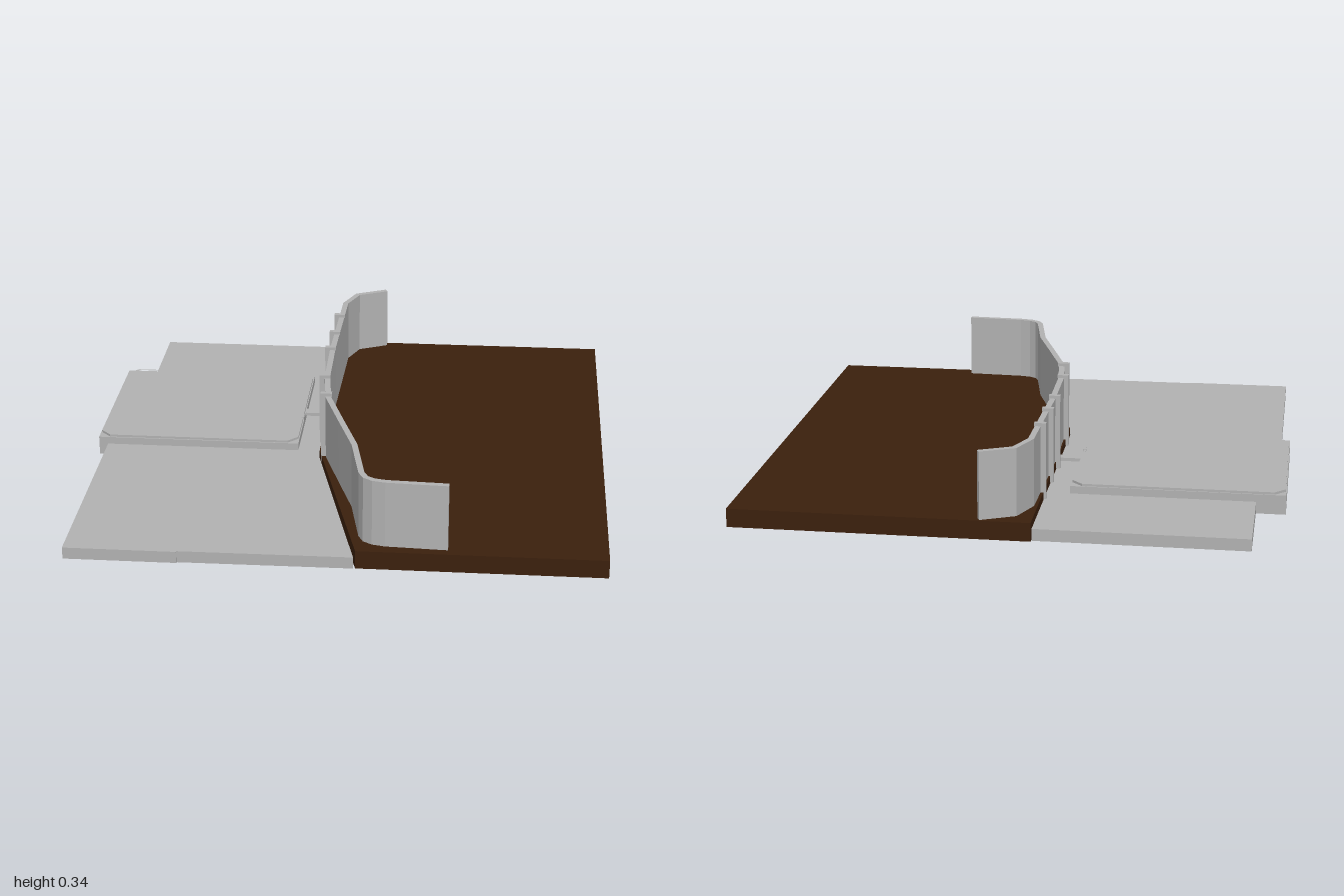
import * as THREE from 'three';

const grey = new THREE.MeshStandardMaterial({ color: 0xb2b2b2 });
grey.name = 'concrete grey';
const brown = new THREE.MeshStandardMaterial({ color: 0x3b200d });
brown.name = 'earth brown';

// Vertical prism from a plan outline of [x, z] points
function prism(name, outline, y0, y1, material, hole) {
  const toPoints = (list) => list.map(([x, z]) => new THREE.Vector2(x, -z));
  const shape = new THREE.Shape(toPoints(outline));
  if (hole) shape.holes.push(new THREE.Path(toPoints(hole)));
  const geometry = new THREE.ExtrudeGeometry(shape, { depth: y1 - y0, bevelEnabled: false });
  geometry.rotateX(-Math.PI / 2).translate(0, y0, 0);
  const mesh = new THREE.Mesh(geometry, material);
  mesh.name = name;
  return mesh;
}

function box(name, x0, x1, y0, y1, z0, z1) {
  const mesh = new THREE.Mesh(new THREE.BoxGeometry(x1 - x0, y1 - y0, z1 - z0), grey);
  mesh.position.set((x0 + x1) / 2, (y0 + y1) / 2, (z0 + z1) / 2);
  mesh.name = name;
  return mesh;
}

// Closed outline of constant thickness around an open path, with mitred corners
function ribbon(path, thickness) {
  const points = path.map(([x, z]) => new THREE.Vector2(x, z));
  const normal = (a, b) => new THREE.Vector2(a.y - b.y, b.x - a.x).normalize();
  const sideA = [], sideB = [];
  points.forEach((p, i) => {
    const n0 = normal(points[Math.max(i - 1, 0)], points[Math.max(i, 1)]);
    const last = points.length - 1;
    const n1 = normal(points[Math.min(i, last - 1)], points[Math.min(i + 1, last)]);
    const miter = n0.clone().add(n1).normalize();
    const d = thickness / 2 / miter.dot(n0);
    sideA.push([p.x + miter.x * d, p.y + miter.y * d]);
    sideB.unshift([p.x - miter.x * d, p.y - miter.y * d]);
  });
  return [...sideA, ...sideB];
}

// Rectangle with cut corners
function cutRect(x0, x1, z0, z1, c) {
  return [[x0 + c, z0], [x1 - c, z0], [x1, z0 + c], [x1, z1 - c],
    [x1 - c, z1], [x0 + c, z1], [x0, z1 - c], [x0, z0 + c]];
}

export function createModel() {
  const model = new THREE.Group();
  model.name = 'walledTerrace';

  // Ground slabs meeting along a bent edge
  model.add(prism('earthSlab',
    [[-0.11, -0.985], [1, -0.985], [1, 0.97], [0.095, 0.97], [-0.11, 0.15]], 0, 0.07, brown));
  model.add(prism('pavedSlab',
    [[-0.89, -0.975], [-0.112, -0.975], [-0.112, 0.15], [0.088, 0.972], [-0.55, 0.976],
      [-0.55, 0.982], [-0.965, 0.982], [-0.965, 0.05], [-0.89, 0.05]], 0, 0.045, grey));

  // Raised pad with a thin rim, and a walkway to the wall
  model.add(box('pad', -1, -0.2, 0, 0.074, -0.575, 0.1));
  model.add(prism('padRim', cutRect(-0.996, -0.204, -0.57, 0.095, 0.04), 0.073, 0.083, grey,
    cutRect(-0.988, -0.212, -0.562, 0.087, 0.038)));
  model.add(box('walkway', -0.21, -0.1, 0.06, 0.073, -0.24, -0.2));
  model.add(box('padMarker', -0.21, -0.2, 0.07, 0.085, -0.155, -0.13));

  // Curved retaining wall
  const path = [[0.08, -0.968], [-0.042, -0.91], [-0.086, -0.8], [-0.096, -0.3], [-0.092, 0],
    [-0.07, 0.2], [0, 0.42], [0.065, 0.62], [0.108, 0.85], [0.125, 0.885], [0.155, 0.905],
    [0.2, 0.915], [0.425, 0.926]];
  model.add(prism('wall', ribbon(path, 0.022), 0.069, 0.325, grey));

  // Posts on the outer face, each with a cap hooked over the wall
  for (const [x, z] of [[-0.09, -0.64], [-0.093, -0.45], [-0.096, -0.28], [-0.092, 0.01], [-0.071, 0.185]]) {
    const post = new THREE.Group();
    post.name = 'wallPost';
    post.add(box('postShaft', x - 0.03, x - 0.008, 0.045, 0.325, z - 0.01, z + 0.01));
    post.add(box('postCap', x - 0.03, x + 0.014, 0.324, 0.337, z - 0.01, z + 0.01));
    model.add(post);
  }
  return model;
}
